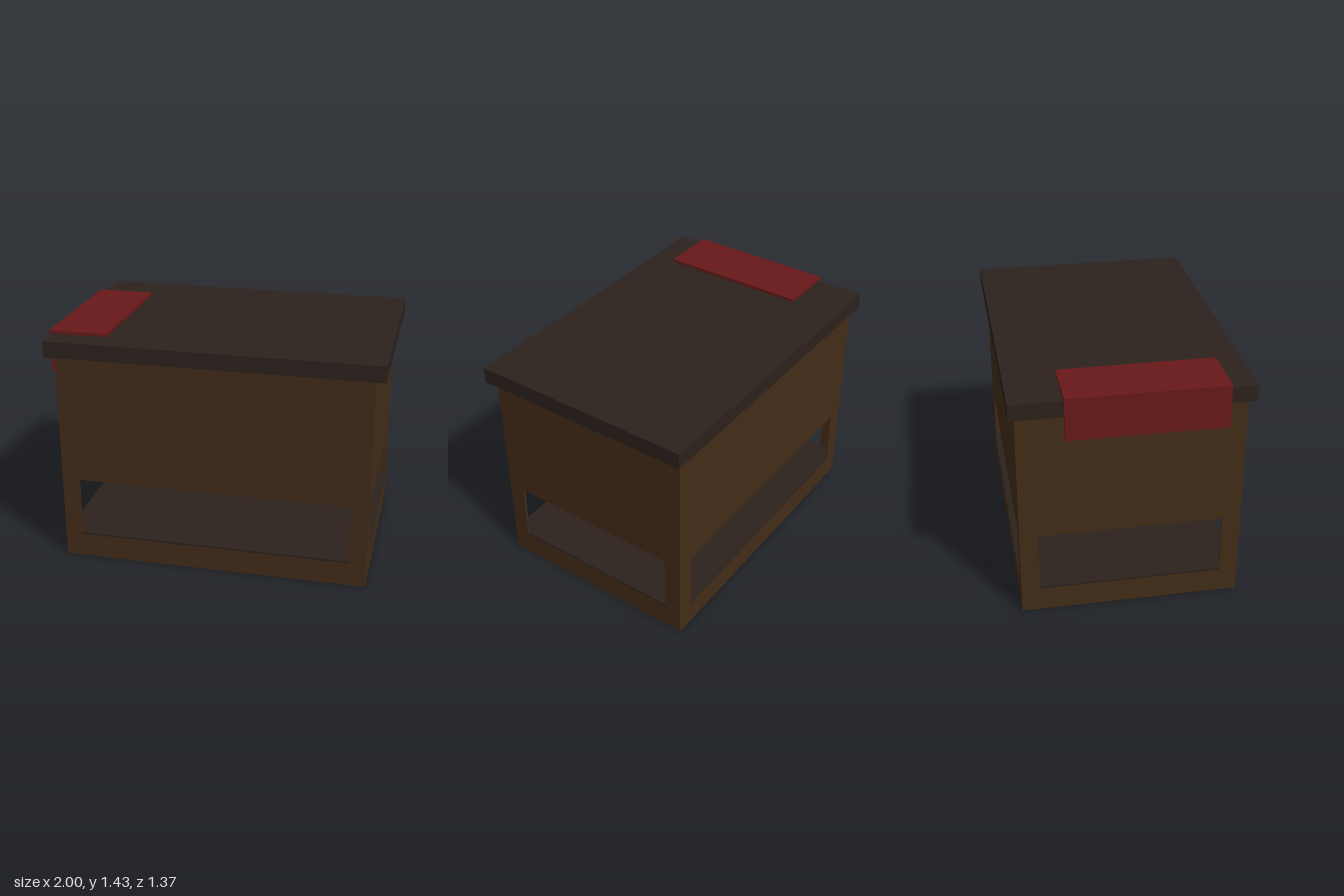
import * as THREE from 'three';

export function createModel() {
  const model = new THREE.Group();
  const wood = new THREE.MeshStandardMaterial({ color: 0x432c18 });
  const dark = new THREE.MeshStandardMaterial({ color: 0x2c211d });
  const red = new THREE.MeshStandardMaterial({ color: 0x681919 });

  // Body limits, wall thickness and border around each opening
  const X0 = -0.93, X1 = 0.943, Z = 0.648, H = 1.31;
  const T = 0.008, BORDER = 0.108, SILL = 0.145, HEAD = 0.52;
  const CX = (X0 + X1) / 2, W = X1 - X0;

  // Box given by its minimum and maximum corners
  function box(name, material, [x0, y0, z0], [x1, y1, z1], parent = model) {
    const mesh = new THREE.Mesh(new THREE.BoxGeometry(x1 - x0, y1 - y0, z1 - z0), material);
    mesh.position.set((x0 + x1) / 2, (y0 + y1) / 2, (z0 + z1) / 2);
    mesh.name = name;
    parent.add(mesh);
  }

  // Thin wall with a wide low opening; its outer face lies at z = 0
  function wall(name, width) {
    const rect = (Type, hw, y0, y1) => new Type([
      new THREE.Vector2(-hw, y0), new THREE.Vector2(hw, y0),
      new THREE.Vector2(hw, y1), new THREE.Vector2(-hw, y1)]);
    const shape = rect(THREE.Shape, width / 2, 0, H);
    shape.holes.push(rect(THREE.Path, width / 2 - BORDER, SILL, HEAD));
    const geometry = new THREE.ExtrudeGeometry(shape, { depth: T, bevelEnabled: false });
    geometry.translate(0, 0, -T);
    const mesh = new THREE.Mesh(geometry, wood);
    mesh.name = name;
    model.add(mesh);
    return mesh;
  }

  // Four walls around the body
  for (const s of [1, -1]) {
    const long = wall(s > 0 ? 'frontWall' : 'backWall', W);
    long.position.set(CX, 0, s * Z);
    long.rotation.y = s > 0 ? 0 : Math.PI;
    const side = wall(s > 0 ? 'leftWall' : 'rightWall', 2 * Z);
    side.position.set(s > 0 ? X1 : X0, 0, 0);
    side.rotation.y = s * Math.PI / 2;
  }

  // Base plate, shelf floor and shelf ceiling
  const e = 0.002;
  box('basePlate', wood, [X0 + e, 0, -Z + e], [X1 - e, T, Z - e]);
  box('shelfFloor', dark, [X0 + e, SILL - 0.01, -Z + e], [X1 - e, 0.158, Z - e]);
  box('shelfCeiling', dark, [X0 + e, HEAD - 0.001, -Z + e], [X1 - e, HEAD + 0.02, Z - e]);

  // Overhanging table top
  box('tableTop', dark, [-0.983, H, -0.683], [1, 1.407, 0.683]);

  // Folded cloth hanging over the right edge
  const cloth = new THREE.Group();
  cloth.name = 'cloth';
  model.add(cloth);
  box('clothTop', red, [-1, 1.407, -0.385], [-0.648, 1.427, 0.53], cloth);
  box('clothDrop', red, [-1, 1.172, -0.385], [-0.981, 1.407, 0.53], cloth);

  return model;
}
